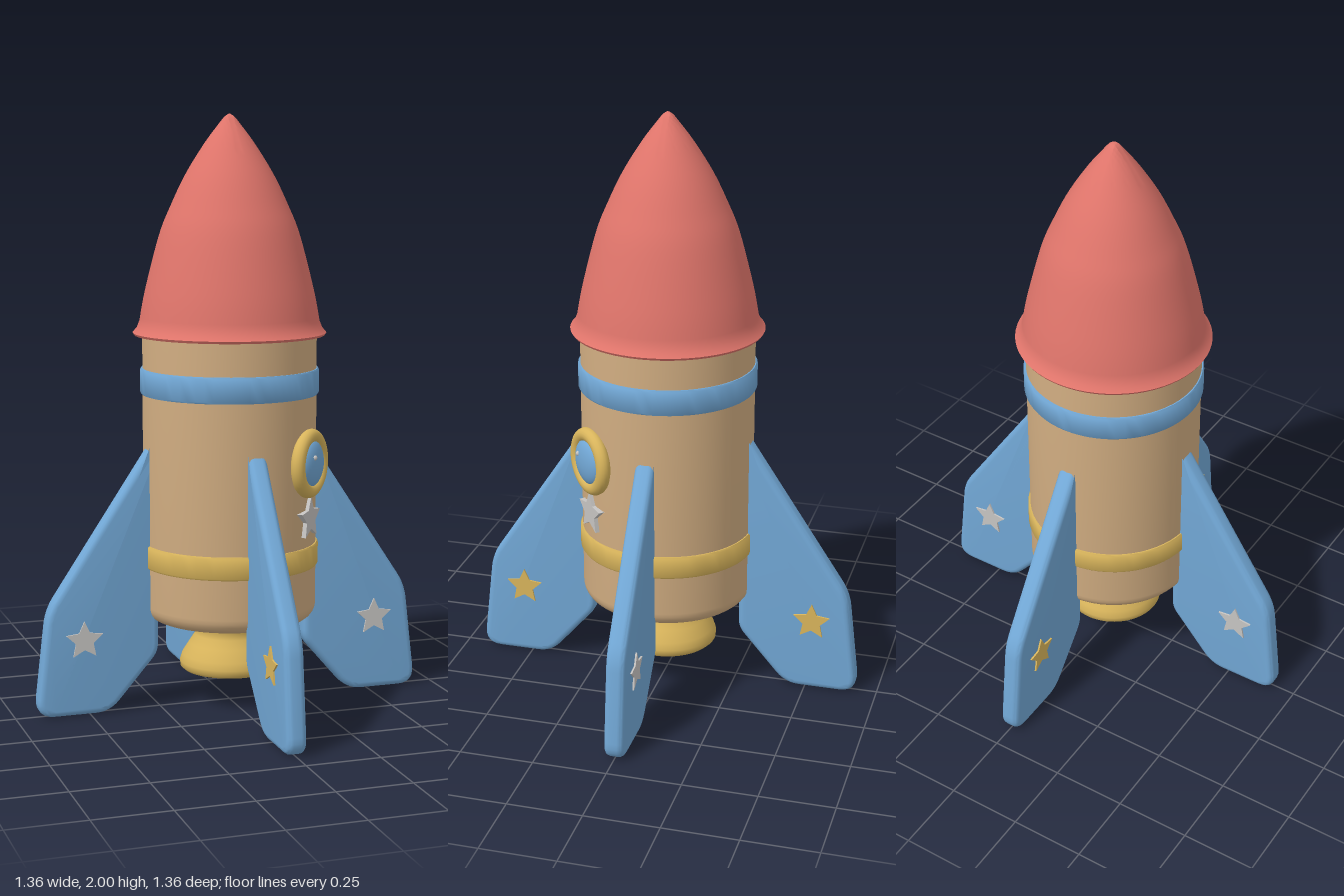
import * as THREE from 'three';
import { toCreasedNormals } from 'three/addons/utils/BufferGeometryUtils.js';

const mat = (name, color) => {
  const m = new THREE.MeshStandardMaterial({ color });
  m.name = name;
  return m;
};

// Outline with each corner rounded by its own radius: [x, y, r]
function roundedShape(corners) {
  const shape = new THREE.Shape();
  const n = corners.length;
  const toward = (a, b, r) => {
    const d = Math.hypot(b[0] - a[0], b[1] - a[1]);
    return [a[0] + ((b[0] - a[0]) * r) / d, a[1] + ((b[1] - a[1]) * r) / d];
  };
  corners.forEach((c, i) => {
    const start = toward(c, corners[(i + n - 1) % n], c[2]);
    const end = toward(c, corners[(i + 1) % n], c[2]);
    if (i === 0) shape.moveTo(...start);
    else shape.lineTo(...start);
    shape.quadraticCurveTo(c[0], c[1], ...end);
  });
  shape.closePath();
  return shape;
}

// Revolved profile, listed from bottom to top
function lathe(points, crease = 0.6) {
  const pts = points.map(([r, y]) => new THREE.Vector2(r, y));
  return toCreasedNormals(new THREE.LatheGeometry(pts, 64), crease);
}

function starGeometry(radius, depth) {
  const shape = new THREE.Shape();
  for (let i = 0; i < 10; i++) {
    const r = i % 2 ? radius * 0.48 : radius;
    const a = Math.PI / 2 + (i * Math.PI) / 5;
    if (i === 0) shape.moveTo(r * Math.cos(a), r * Math.sin(a));
    else shape.lineTo(r * Math.cos(a), r * Math.sin(a));
  }
  return new THREE.ExtrudeGeometry(shape, { depth, bevelEnabled: false });
}

export function createModel() {
  const red = mat('nose red', 0xe0756b);
  const tan = mat('body tan', 0xd2ae82);
  const blue = mat('trim blue', 0x72a8d6);
  const gold = mat('trim gold', 0xd9b55c);
  const silver = mat('star silver', 0xc6c4c2);

  const rocket = new THREE.Group();
  rocket.name = 'rocket';
  const add = (parent, name, geometry, material) => {
    const mesh = new THREE.Mesh(geometry, material);
    mesh.name = name;
    parent.add(mesh);
    return mesh;
  };

  // Body with a rounded lower edge
  const bodyProfile = [[0, 0.3]];
  for (let i = 0; i <= 6; i++) {
    const a = (i / 6) * (Math.PI / 2);
    bodyProfile.push([0.24 + 0.053 * Math.sin(a), 0.353 - 0.053 * Math.cos(a)]);
  }
  bodyProfile.push([0.293, 1.28]);
  add(rocket, 'body', lathe(bodyProfile), tan);

  // Nose: flared lip, then a smooth ogive
  const ogive = new THREE.SplineCurve([
    [0.302, 1.315], [0.282, 1.42], [0.235, 1.6], [0.195, 1.7], [0.147, 1.8],
    [0.085, 1.9], [0.035, 1.967], [0.016, 1.99], [0, 2],
  ].map(([x, y]) => new THREE.Vector2(x, y))).getPoints(40).map((p) => [Math.max(p.x, 0), p.y]);
  add(rocket, 'nose', lathe([[0, 1.268], [0.32, 1.268], [0.325, 1.276], [0.312, 1.29], ...ogive], 0.9), red);

  // Bands around the body
  const band = (name, y0, y1, material) => {
    const r = 0.301;
    add(rocket, name, lathe([
      [0.285, y0], [r - 0.004, y0], [r, y0 + 0.006], [r, y1 - 0.006], [r - 0.004, y1], [0.285, y1],
    ]), material);
  };
  band('upperBand', 1.07, 1.157, blue);
  band('lowerBand', 0.488, 0.566, gold);

  // Engine nozzle and its inner disc
  add(rocket, 'nozzle', lathe([
    [0.128, 0.13], [0.134, 0.12], [0.158, 0.12], [0.169, 0.13], [0.17, 0.148], [0.162, 0.172],
    [0.138, 0.21], [0.118, 0.24], [0.112, 0.26], [0.12, 0.275], [0.122, 0.31],
  ], 0.9), gold);
  const disc = add(rocket, 'nozzleInterior', new THREE.CircleGeometry(0.132, 48), blue);
  disc.rotation.x = Math.PI / 2;
  disc.position.y = 0.126;

  // Four fins with a star on each face
  const finShape = roundedShape([
    [0.26, 0.94, 0.01], [0.26, 0.2, 0.03], [0.43, 0.004, 0.05],
    [0.685, 0.004, 0.065], [0.643, 0.365, 0.05],
  ]);
  const bevel = 0.02;
  const finDepth = 0.026;
  const finGeometry = new THREE.ExtrudeGeometry(finShape, {
    depth: finDepth, bevelThickness: bevel, bevelSize: bevel, bevelOffset: -bevel,
    bevelSegments: 4, curveSegments: 6,
  });
  finGeometry.translate(0, 0, -finDepth / 2);
  const smoothFin = toCreasedNormals(finGeometry, 0.6);
  const finStar = starGeometry(0.066, 0.008);
  ['left', 'back', 'right', 'front'].forEach((side, i) => {
    const fin = new THREE.Group();
    fin.name = side + 'Fin';
    fin.rotation.y = (i * Math.PI) / 2;
    add(fin, side + 'FinBlade', smoothFin, blue);
    for (const s of [0, 1]) {
      const star = add(fin, side + 'FinStar', finStar, i % 2 ? gold : silver);
      star.rotation.y = s * Math.PI;
      star.position.set(0.52, 0.262, s ? -0.031 : 0.031);
    }
    rocket.add(fin);
  });

  // Porthole and star, set halfway between the front and left fins
  const port = new THREE.Group();
  port.name = 'porthole';
  port.rotation.y = Math.PI / 4;
  rocket.add(port);
  const seat = add(port, 'portholeSeat', new THREE.CylinderGeometry(0.1, 0.1, 0.06, 40), gold);
  seat.rotation.x = Math.PI / 2;
  seat.position.set(0, 0.85, 0.273);
  const ring = add(port, 'portholeRing', new THREE.TorusGeometry(0.092, 0.024, 16, 48), gold);
  ring.position.set(0, 0.85, 0.298);
  const glass = add(port, 'portholeGlass', new THREE.SphereGeometry(0.08, 32, 20), blue);
  glass.scale.z = 0.4;
  glass.position.set(0, 0.85, 0.302);
  const glint = add(port, 'portholeGlint', new THREE.SphereGeometry(0.009, 12, 8), silver);
  glint.position.set(-0.027, 0.875, 0.328);
  const bodyStar = add(port, 'bodyStar', starGeometry(0.074, 0.022), silver);
  bodyStar.position.set(0, 0.665, 0.283);

  return rocket;
}
